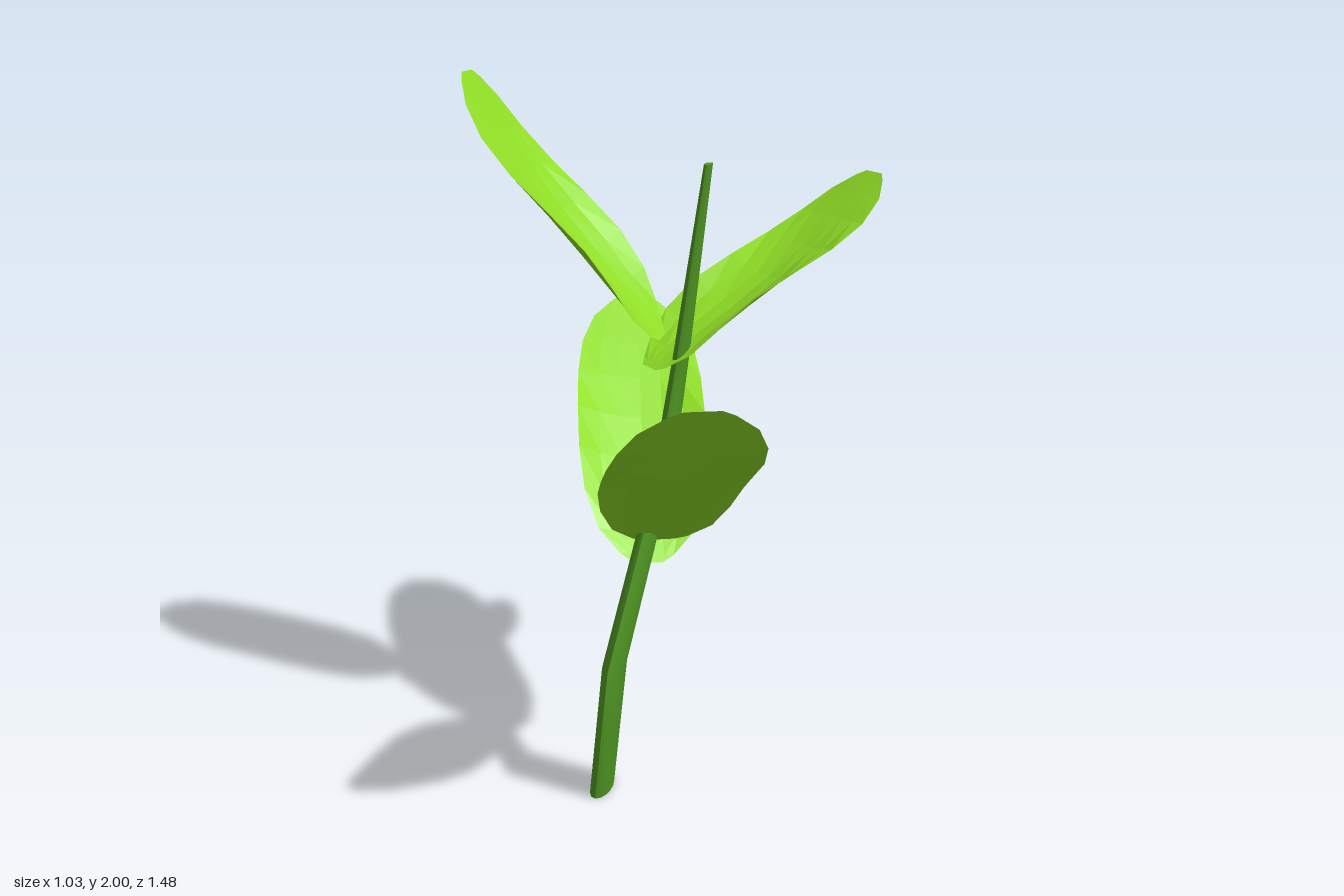
import * as THREE from 'three';

const leafMaterial = new THREE.MeshStandardMaterial({ color: 0x90de26, flatShading: true, side: THREE.DoubleSide });
const stemMaterial = new THREE.MeshStandardMaterial({ color: 0x529a24 });

// Flattened, kinked stem: each section is [y, x, z, half width in x, half width in z]
function createStem() {
  const sections = [
    [0.0, -0.155, 0.085, 0.03, 0.069],
    [0.45, -0.085, 0.175, 0.03, 0.067],
    [0.95, -0.003, -0.032, 0.027, 0.058],
    [1.3, 0.056, 0.003, 0.02, 0.045],
    [1.8, 0.142, 0.085, 0.01, 0.025],
  ];
  const last = sections.length - 1;
  const geometry = new THREE.CylinderGeometry(1, 1, last, 14, last);
  const pos = geometry.attributes.position;
  for (let i = 0; i < pos.count; i++) {
    const [y, x, z, rx, rz] = sections[Math.round(pos.getY(i) + last / 2)];
    pos.setXYZ(i, x + pos.getX(i) * rx, y, z + pos.getZ(i) * rz);
  }
  geometry.computeVertexNormals();
  const stem = new THREE.Mesh(geometry, stemMaterial);
  stem.name = 'stem';
  return stem;
}

// Rounded thin leaf from base to tip: cupped near the base, flattening to the tip;
// bow arches its middle and roll lifts one side
function createLeaf({ name, base, tip, halfWidth, bow, roll }) {
  const start = new THREE.Vector3(...base);
  const along = new THREE.Vector3(...tip).sub(start);
  const across = new THREE.Vector3(along.z, 0, -along.x).normalize();
  const up = along.clone().cross(across).normalize();

  const geometry = new THREE.PlaneGeometry(2, 1, 6, 10);
  const pos = geometry.attributes.position;
  const p = new THREE.Vector3();
  for (let i = 0; i < pos.count; i++) {
    const t = pos.getX(i);
    // rows crowd towards the rounded ends
    const s = 0.5 - 0.5 * Math.cos(Math.PI * (pos.getY(i) + 0.5));
    const width = Math.sqrt(Math.max(0.05, 1 - Math.abs(2 * s - 1) ** 3.4));
    const side = t * width;
    const cup = 0.075 * (1.6 - 2 * s) * side * side;
    const lift = (bow + cup) * Math.sin(Math.PI * s) + roll * side;
    p.copy(start)
      .addScaledVector(along, s)
      .addScaledVector(across, side * halfWidth)
      .addScaledVector(up, lift);
    pos.setXYZ(i, p.x, p.y, p.z);
  }
  geometry.computeVertexNormals();
  const leaf = new THREE.Mesh(geometry, leafMaterial);
  leaf.name = name;
  return leaf;
}

export function createModel() {
  const plant = new THREE.Group();
  plant.name = 'plant';
  plant.add(createStem());

  // Two lower leaves front and back, two upper leaves to the sides
  const leaves = [
    { name: 'lowerFrontLeaf', base: [-0.01, 0.75, -0.01], tip: [0.29, 1.37, 0.725], halfWidth: 0.19, bow: -0.032, roll: 0 },
    { name: 'lowerBackLeaf', base: [-0.03, 0.7, 0.04], tip: [-0.28, 1.26, -0.725], halfWidth: 0.185, bow: 0.01, roll: 0.02 },
    { name: 'upperLeftLeaf', base: [-0.025, 1.255, 0.035], tip: [0.48, 1.715, -0.455], halfWidth: 0.152, bow: -0.03, roll: 0 },
    { name: 'upperRightLeaf', base: [0, 1.33, 0], tip: [-0.52, 2, 0], halfWidth: 0.156, bow: -0.035, roll: 0 },
  ];
  leaves.forEach((leaf) => plant.add(createLeaf(leaf)));
  return plant;
}
